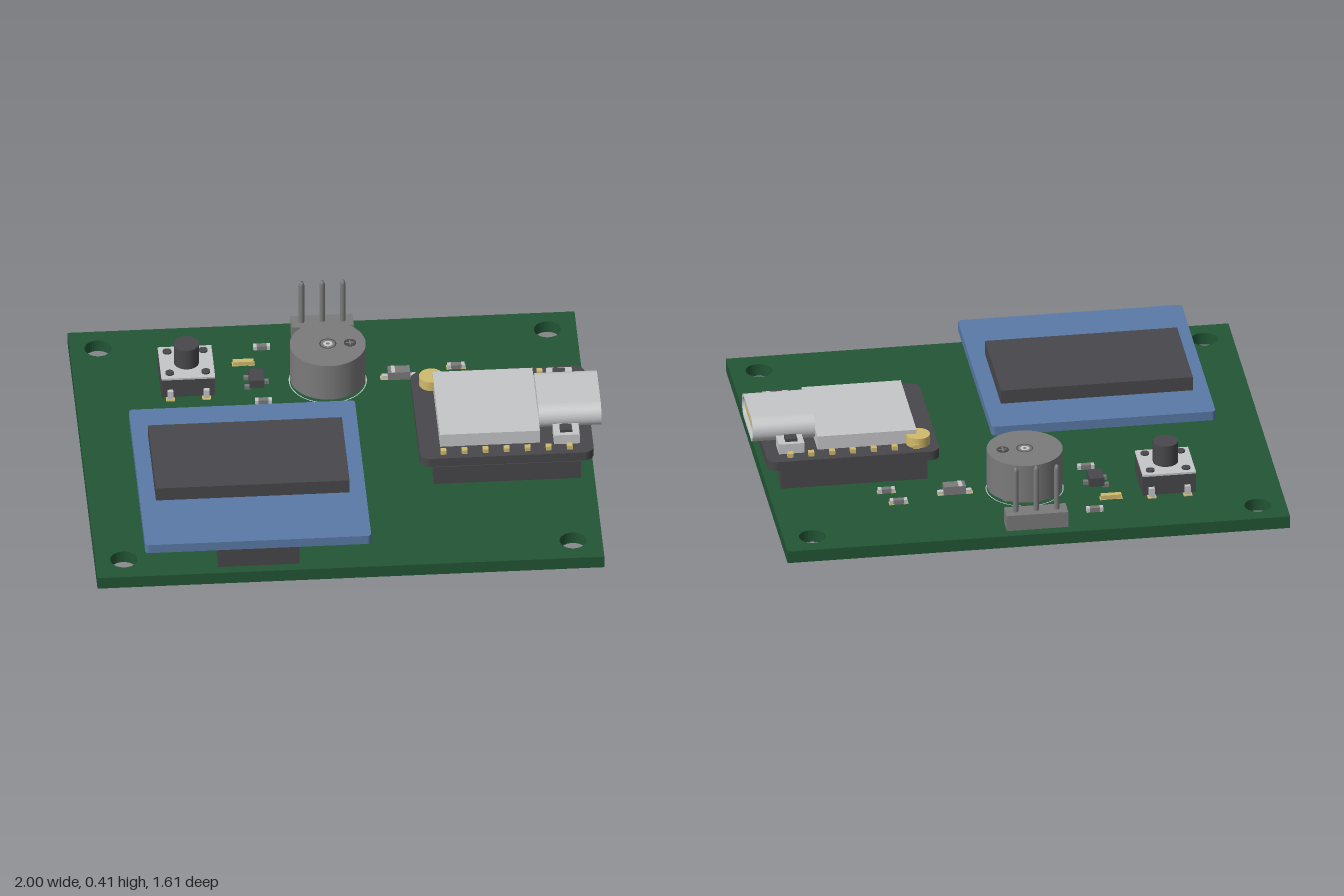
import * as THREE from 'three';

const mat = (name, color) => Object.assign(new THREE.MeshStandardMaterial({ color }), { name });

export function createModel() {
  const root = new THREE.Group();
  root.name = 'circuitBoard';
  const green = mat('boardGreen', 0x225535);
  const blue = mat('displayBlue', 0x5a7aa6);
  const dark = mat('darkPlastic', 0x48474b);
  const grey = mat('midGrey', 0x7b7b7b);
  const silver = mat('silverMetal', 0xc6c7c9);
  const gold = mat('goldContact', 0xd2bb6c);
  const copper = mat('copperPad', 0xa8602f);
  let parent = root;

  const add = (name, geo, m, x = 0, y = 0, z = 0) => {
    const mesh = new THREE.Mesh(geo, m);
    mesh.name = name;
    mesh.position.set(x, y, z);
    parent.add(mesh);
    return mesh;
  };
  const group = (name) => {
    parent = new THREE.Group();
    parent.name = name;
    root.add(parent);
  };
  // box given by its extents
  const box = (name, m, x0, x1, y0, y1, z0, z1) =>
    add(name, new THREE.BoxGeometry(x1 - x0, y1 - y0, z1 - z0), m, (x0 + x1) / 2, (y0 + y1) / 2, (z0 + z1) / 2);
  // upright cylinder from y0 to y1
  const cyl = (name, m, x, z, r, y0, y1, seg = 32) =>
    add(name, new THREE.CylinderGeometry(r, r, y1 - y0, seg), m, x, (y0 + y1) / 2, z);
  // pin with chamfered tips
  const pin = (name, m, x, z, r, y0, y1) => add(name, new THREE.LatheGeometry([
    [0, y0], [r * 0.5, y0], [r, y0 + 0.015], [r, y1 - 0.015], [r * 0.5, y1], [0, y1],
  ].map(([a, b]) => new THREE.Vector2(a, b)), 12), m, x, 0, z);

  const rounded = (w, h, r, P = THREE.Shape) => {
    const s = new P(), a = w / 2, b = h / 2;
    s.moveTo(-a + r, -b);
    s.lineTo(a - r, -b);
    s.absarc(a - r, -b + r, r, -Math.PI / 2, 0);
    s.lineTo(a, b - r);
    s.absarc(a - r, b - r, r, 0, Math.PI / 2);
    s.lineTo(-a + r, b);
    s.absarc(-a + r, b - r, r, Math.PI / 2, Math.PI);
    s.lineTo(-a, -b + r);
    s.absarc(-a + r, -b + r, r, Math.PI, Math.PI * 1.5);
    return s;
  };
  const extrude = (shape, depth) =>
    new THREE.ExtrudeGeometry(shape, { depth, bevelEnabled: false, curveSegments: 16 });
  const plate = (name, m, shape, x, y0, y1, z) =>
    add(name, extrude(shape, y1 - y0).rotateX(-Math.PI / 2), m, x, y0, z);

  // main board with four mounting holes
  const board = new THREE.Shape([[-1, -0.805], [0.963, -0.805], [0.963, 0.805], [-1, 0.805]]
    .map(([x, y]) => new THREE.Vector2(x, y)));
  for (const x of [-0.89, 0.85]) for (const y of [-0.69, 0.695]) {
    board.holes.push(new THREE.Path().absarc(x, y, 0.052, 0, Math.PI * 2, true));
  }
  plate('mainBoard', green, board, 0, 0.1, 0.15, 0);

  // display module on its header
  group('display');
  plate('displayBoard', blue, rounded(0.875, 0.89, 0.015), -0.374, 0.23, 0.268, 0.32);
  box('screen', dark, -0.75, 0, 0.268, 0.325, 0.06, 0.475);
  box('displayHeader', dark, -0.53, -0.215, 0.15, 0.23, 0.69, 0.765);
  for (let i = 0; i < 4; i++) cyl('solderPoint', grey, -0.493 + i * 0.08, 0.727, 0.01, 0.093, 0.1, 12);
  box('squarePad', copper, -0.51, -0.476, 0.098, 0.1, 0.71, 0.744);

  // controller module: headers, board, shield
  group('controllerModule');
  plate('controllerBoard', dark, rounded(0.673, 0.57, 0.04), 0.625, 0.23, 0.268, -0.005);
  for (const z of [-0.25, 0.245]) {
    box('controllerHeader', dark, 0.34, 0.91, 0.15, 0.23, z - 0.038, z + 0.038);
    for (let i = 0; i < 7; i++) {
      const x = 0.38 + i * 0.0815;
      box('contact', gold, x - 0.011, x + 0.011, 0.268, 0.285, z - 0.011, z + 0.011);
      cyl('solderPoint', grey, x, z, 0.01, 0.093, 0.1, 12);
    }
  }
  box('squarePad', copper, 0.363, 0.397, 0.098, 0.1, 0.228, 0.262);
  box('shield', silver, 0.37, 0.757, 0.268, 0.325, -0.21, 0.203);
  cyl('antennaConnector', gold, 0.365, -0.21, 0.047, 0.268, 0.308);
  for (const z of [-0.188, 0.18]) {
    box('tinyButtonCase', silver, 0.81, 0.91, 0.268, 0.31, z - 0.038, z + 0.038);
    box('tinyButtonCap', dark, 0.835, 0.882, 0.31, 0.322, z - 0.02, z + 0.02);
  }

  // plug socket: hollow rounded shell open towards +x
  group('socket');
  const shell = rounded(0.285, 0.099, 0.049);
  shell.holes.push(rounded(0.263, 0.077, 0.038, THREE.Path));
  const along = (name, m, shape, x0, x1) =>
    add(name, extrude(shape, x1 - x0).rotateY(Math.PI / 2), m, x0, 0.32, -0.005);
  along('socketShell', silver, shell, 0.76, 1);
  along('socketBack', silver, rounded(0.285, 0.099, 0.049), 0.757, 0.762);
  along('socketInside', dark, rounded(0.264, 0.078, 0.038), 0.762, 0.985);
  box('socketTongue', gold, 0.9, 0.993, 0.309, 0.331, -0.11, 0.1);

  // buzzer
  group('buzzer');
  const bx = -0.02, bz = -0.423;
  cyl('buzzerBody', grey, bx, bz, 0.147, 0.165, 0.325, 48);
  for (let i = 0; i < 4; i++) {
    const a = Math.PI / 4 + i * Math.PI / 2;
    cyl('buzzerFoot', grey, bx + 0.11 * Math.cos(a), bz + 0.11 * Math.sin(a), 0.022, 0.15, 0.165, 16);
  }
  const ring = (name, m, x, z, r0, r1, y) =>
    add(name, new THREE.RingGeometry(r0, r1, 48).rotateX(-Math.PI / 2), m, x, y, z);
  ring('soundHoleRim', dark, bx, bz, 0.028, 0.033, 0.326);
  ring('soundHole', silver, bx, bz, 0.007, 0.018, 0.326);
  cyl('polarityMark', dark, 0.066, bz, 0.024, 0.324, 0.327);
  box('polarityBar', grey, 0.05, 0.082, 0.327, 0.328, bz - 0.003, bz + 0.003);
  box('polarityBar', grey, 0.063, 0.069, 0.327, 0.328, bz - 0.016, bz + 0.016);
  ring('printedOutline', silver, bx, bz, 0.147, 0.151, 0.151);
  for (const x of [-0.1, 0.06]) pin('buzzerLeg', grey, x, bz, 0.01, 0, 0.17);

  // three-pin header
  group('pinHeader');
  box('headerBase', grey, -0.14, 0.1, 0.15, 0.215, -0.763, -0.688);
  for (const x of [-0.1, -0.02, 0.06]) pin('headerPin', grey, x, -0.725, 0.011, 0.07, 0.405);

  // push button
  group('pushButton');
  const px = -0.565, pz = -0.455;
  box('buttonBody', dark, px - 0.104, px + 0.104, 0.155, 0.235, pz - 0.104, pz + 0.104);
  box('buttonPlate', silver, px - 0.104, px + 0.104, 0.235, 0.243, pz - 0.104, pz + 0.104);
  cyl('buttonCap', dark, px, pz, 0.049, 0.243, 0.332);
  for (const sx of [-1, 1]) for (const sz of [-1, 1]) {
    const x = px + sx * 0.07, z = pz + sz * 0.07, e = pz + sz * 0.112;
    cyl('buttonRivet', dark, x, z, 0.017, 0.243, 0.249, 16);
    box('buttonLeg', silver, x - 0.011, x + 0.011, 0.15, 0.19, e - 0.008, e + 0.008);
    box('buttonPad', gold, x - 0.017, x + 0.017, 0.15, 0.154, e - 0.014, e + 0.014);
    cyl('solderPoint', grey, x, e, 0.009, 0.094, 0.1, 12);
  }

  // small surface parts: body, two end caps, two pads
  group('surfaceParts');
  const chip = (name, x, z, w, d, h, body, cap, pad) => {
    box(name, body, x - w * 0.3, x + w * 0.3, 0.15, 0.15 + h, z - d / 2, z + d / 2);
    for (const s of [-1, 1]) {
      const c = x + s * w * 0.4;
      box(name + 'End', cap, c - w * 0.1, c + w * 0.1, 0.15, 0.15 + h, z - d / 2, z + d / 2);
      if (pad) box(name + 'Pad', pad, c - w * 0.15, c + w * 0.15, 0.15, 0.153, z - d * 0.6, z + d * 0.6);
    }
  };
  chip('resistor', -0.26, -0.648, 0.065, 0.022, 0.018, grey, silver);
  chip('resistor', -0.278, -0.295, 0.065, 0.022, 0.018, grey, silver);
  chip('resistor', 0.513, -0.375, 0.065, 0.022, 0.018, grey, silver, gold);
  chip('resistor', 0.48, -0.472, 0.068, 0.022, 0.018, grey, silver, gold);
  chip('lightPart', -0.338, -0.552, 0.08, 0.022, 0.018, gold, gold, gold);

  // diode with a polarity stripe
  box('diodeBody', grey, 0.212, 0.298, 0.155, 0.19, -0.445, -0.4);
  box('diodeStripe', silver, 0.225, 0.24, 0.19, 0.192, -0.445, -0.4);
  for (const x of [0.203, 0.305]) {
    box('diodeLead', silver, x - 0.015, x + 0.015, 0.15, 0.165, -0.432, -0.414);
    box('diodePad', gold, x - 0.02, x + 0.016, 0.15, 0.153, -0.437, -0.409);
  }

  // three-leg transistor
  box('transistorBody', dark, -0.325, -0.268, 0.157, 0.192, -0.463, -0.383);
  for (const [x, z] of [[-0.332, -0.453], [-0.332, -0.393], [-0.261, -0.423]]) {
    box('transistorLeg', grey, x - 0.012, x + 0.012, 0.15, 0.165, z - 0.008, z + 0.008);
  }
  return root;
}
